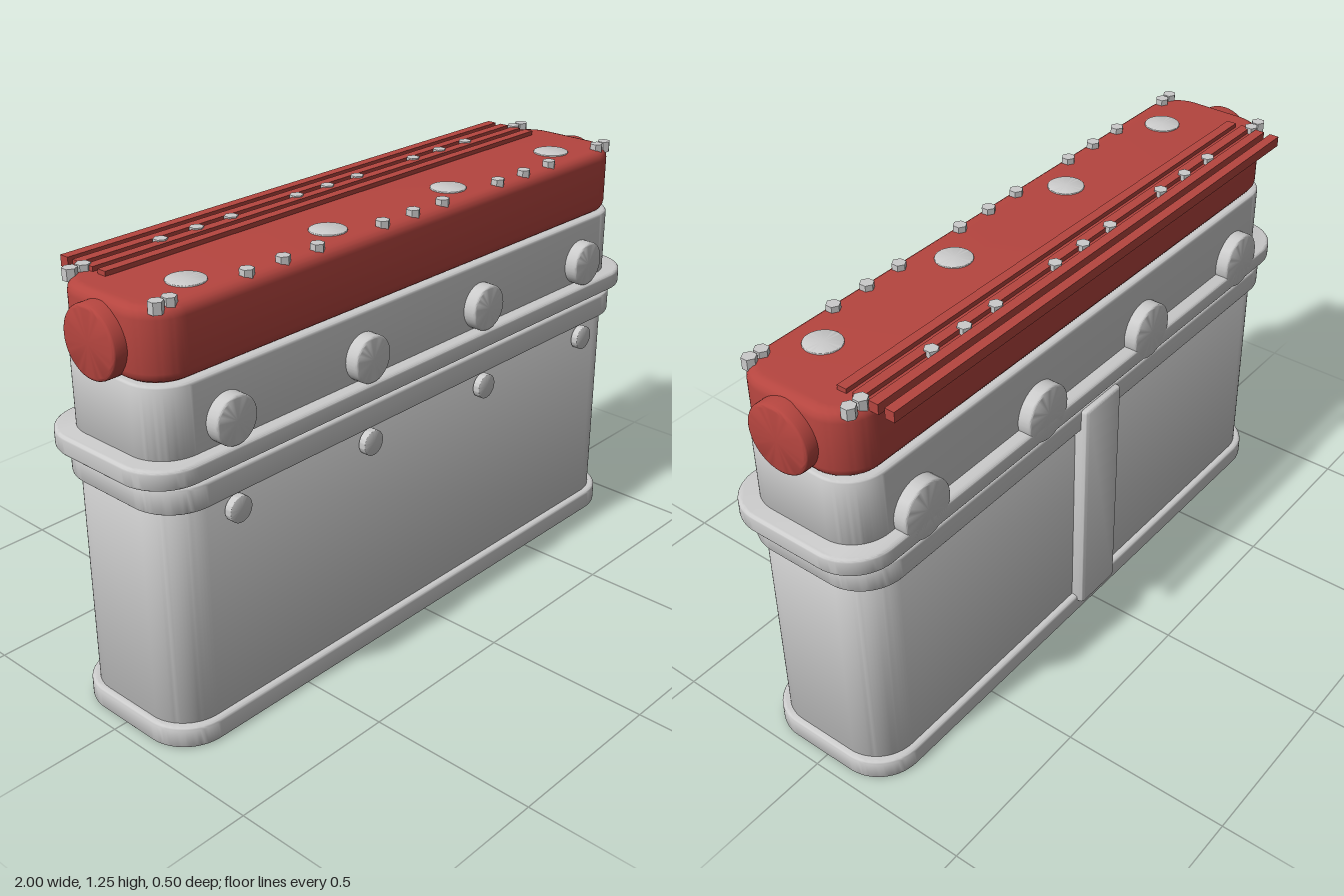
import * as THREE from 'three';
import { toCreasedNormals } from 'three/addons/utils/BufferGeometryUtils.js';

const grey = new THREE.MeshStandardMaterial({ color: 0xcccccc });
const red = new THREE.MeshStandardMaterial({ color: 0xb5453f });

// Upright slab with a rounded-rectangle plan and softened top and bottom edges
function slabGeometry(halfX, halfZ, y0, y1, radius, bevel) {
  const x = halfX - bevel, z = halfZ - bevel, r = radius - bevel;
  const s = new THREE.Shape();
  s.moveTo(x, -z + r);
  s.lineTo(x, z - r);
  s.absarc(x - r, z - r, r, 0, Math.PI / 2);
  s.absarc(-x + r, z - r, r, Math.PI / 2, Math.PI);
  s.absarc(-x + r, -z + r, r, Math.PI, Math.PI * 1.5);
  s.absarc(x - r, -z + r, r, Math.PI * 1.5, Math.PI * 2);
  const g = new THREE.ExtrudeGeometry(s, {
    depth: y1 - y0 - 2 * bevel, bevelThickness: bevel, bevelSize: bevel,
    bevelSegments: 4, curveSegments: 10,
  });
  g.rotateX(-Math.PI / 2).translate(0, y0 + bevel, 0);
  return toCreasedNormals(g, 0.6);
}

// Round boss along +y from 0 to height, with a softened outer rim
function bossGeometry(r, height, bevel) {
  const pts = [new THREE.Vector2(0, 0), new THREE.Vector2(r, 0)];
  for (let i = 0; i <= 4; i++) {
    const a = (i / 4) * Math.PI / 2;
    pts.push(new THREE.Vector2(r - bevel + bevel * Math.cos(a), height - bevel + bevel * Math.sin(a)));
  }
  pts.push(new THREE.Vector2(0, height));
  return toCreasedNormals(new THREE.LatheGeometry(pts, 40), 0.6);
}

export function createModel() {
  const model = new THREE.Group();
  const add = (name, geometry, material, x = 0, y = 0, z = 0) => {
    const mesh = new THREE.Mesh(geometry, material);
    mesh.name = name;
    mesh.position.set(x, y, z);
    model.add(mesh);
    return mesh;
  };

  // Stacked castings: name, half length, half depth, bottom, top, corner radius, edge softening, material
  const stack = [
    ['baseFlange', 0.963, 0.23, 0, 0.065, 0.13, 0.01, grey],
    ['cylinderBlock', 0.945, 0.21, 0.04, 0.73, 0.12, 0.005, grey],
    ['deckFlange', 0.963, 0.23, 0.7, 0.775, 0.13, 0.01, grey],
    ['headGasket', 0.945, 0.21, 0.76, 0.8, 0.12, 0.004, grey],
    ['headFlange', 1.0, 0.24, 0.785, 0.84, 0.13, 0.01, grey],
    ['cylinderHead', 0.95, 0.2, 0.82, 1.035, 0.11, 0.01, grey],
    ['valveCover', 0.947, 0.19, 1.033, 1.23, 0.11, 0.03, red],
  ];
  for (const [name, hx, hz, y0, y1, r, bevel, material] of stack) {
    add(name, slabGeometry(hx, hz, y0, y1, r, bevel), material, 0, 0, 0.01);
  }

  // Ports, plugs and spark wells repeated for each cylinder
  const intake = bossGeometry(0.068, 0.06, 0.008).rotateX(Math.PI / 2);
  const exhaust = bossGeometry(0.085, 0.06, 0.008).rotateX(-Math.PI / 2);
  const plug = bossGeometry(0.037, 0.022, 0.002).rotateX(Math.PI / 2);
  const well = bossGeometry(0.052, 0.03, 0.002);
  for (const x of [-0.737, -0.246, 0.246, 0.737]) {
    add('intakePort', intake, grey, x, 0.907, 0.19);
    add('exhaustPort', exhaust, grey, x, 0.863, -0.17);
    add('corePlug', plug, grey, x, 0.66, 0.228);
    add('sparkWell', well, grey, x, 1.204, 0.085);
  }

  // Vertical rib on the back of the block
  add('backRib', slabGeometry(0.085, 0.035, 0.043, 0.77, 0.015, 0.008), grey, 0, 0, -0.204);

  // Round caps on both ends of the cover
  for (const side of [-1, 1]) {
    const cap = bossGeometry(0.098, 0.055, 0.011).rotateZ(-side * Math.PI / 2);
    add('endCap', cap, red, side * 0.93, 1.12, 0.01);
  }

  // Long rails along the back of the cover
  const rail = new THREE.BoxGeometry(1.71, 0.03, 0.029);
  for (const z of [-0.088, -0.137, -0.186, -0.235]) {
    add('coverRail', rail, red, 0, 1.228, z);
  }

  // Hex bolts in two rows
  const bolt = toCreasedNormals(new THREE.CylinderGeometry(0.02, 0.02, 0.032, 6), 0.3);
  for (const z of [0.167, -0.153]) {
    add('coverBolt', bolt, grey, 0, 1.231, z);
    for (const side of [-1, 1]) {
      for (const x of [0.123, 0.369, 0.491, 0.614, 0.86, 0.9]) {
        add('coverBolt', bolt, grey, side * x, 1.231, z);
      }
    }
  }
  return model;
}
